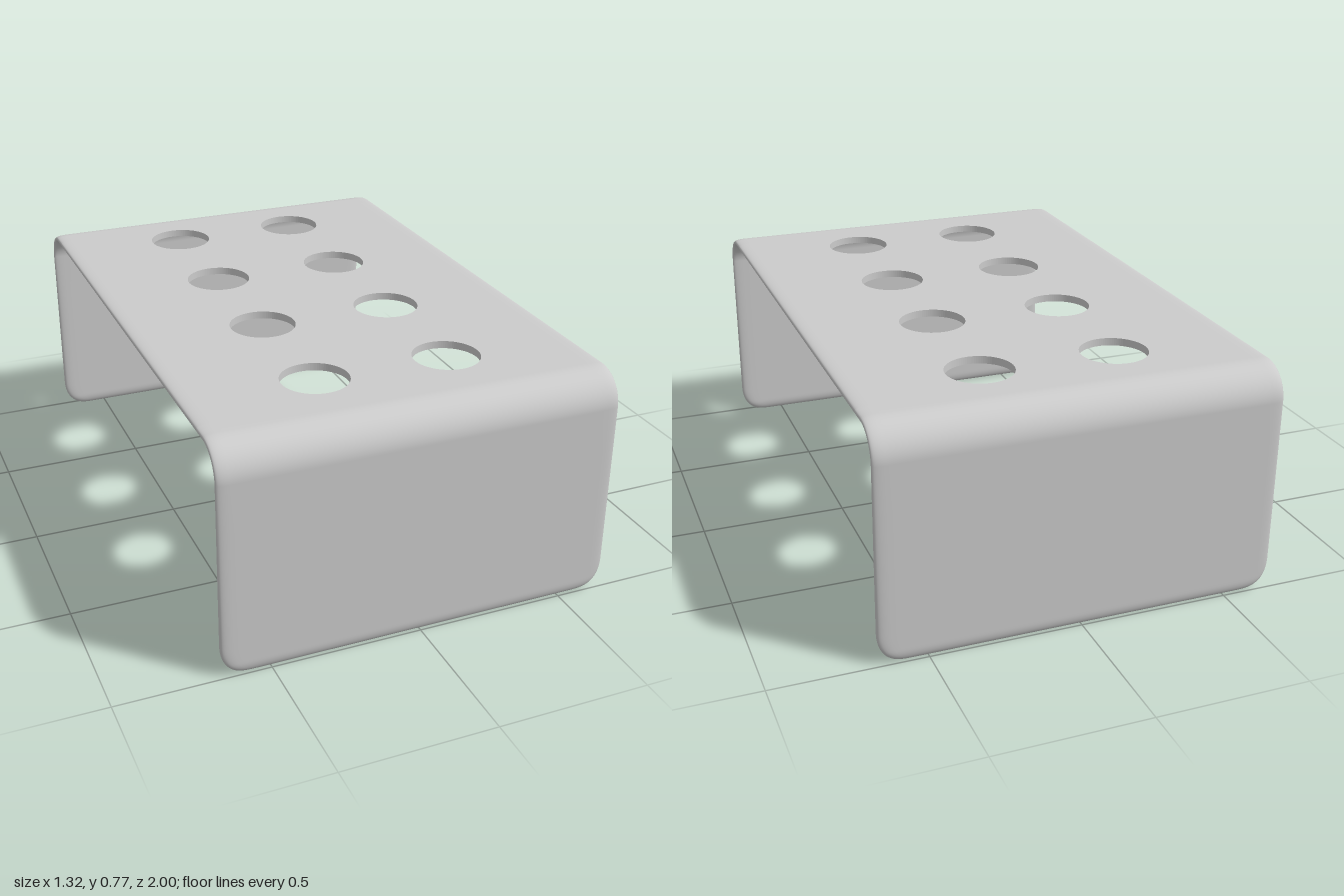
import * as THREE from 'three';

const HALF_W = 0.66, EDGE = 0.06, THICK = 0.025, TOP = 0.77, FLAT_Z = 0.83;
const material = new THREE.MeshStandardMaterial({ color: 0xcccccc });

// Soft rounded edge from the lower face (-90 deg) to the upper face (+90 deg).
const edgeProfile = [];
for (let i = 0; i <= 16; i++) {
  const a = -Math.PI / 2 + (Math.PI * i) / 16;
  const soft = (v) => Math.sign(v) * Math.pow(Math.abs(v), 2 / 3);
  edgeProfile.push([i % 16 ? soft(Math.cos(a)) : 0, soft(Math.sin(a))]);
}

// Section across the sheet: one edge, or both edges joined by flat faces.
function section(halfWidth, thick, full) {
  const inner = halfWidth - EDGE;
  const right = edgeProfile.map(([u, v]) => [inner + u * EDGE, (v * thick) / 2]);
  return full ? [...right, ...right.map(([u, v]) => [-u, -v]), right[0]] : right;
}

// Sweep sections along stations lying in the yz plane.
function loft(stations, full) {
  const pos = [], index = [];
  let n = 0;
  stations.forEach(({ y, z, angle, thick = THICK, halfWidth = HALF_W }, i) => {
    const ring = section(halfWidth, thick, full);
    n = ring.length;
    for (const [u, v] of ring) pos.push(u, y + v * Math.cos(angle), z + v * Math.sin(angle));
    if (i === 0) return;
    for (let j = 0; j < n - 1; j++) {
      const a = (i - 1) * n + j, c = a + n;
      index.push(a, a + 1, c, a + 1, c + 1, c);
    }
  });
  const geo = new THREE.BufferGeometry();
  geo.setAttribute('position', new THREE.Float32BufferAttribute(pos, 3));
  geo.setIndex(index);
  geo.computeVertexNormals();
  return geo;
}

function legStations() {
  const list = [{ y: TOP - THICK / 2, z: FLAT_Z, angle: 0 }];
  // bend from the top into the leg
  const r = 0.1, cy = TOP - THICK / 2 - r, cz = 1 - THICK / 2 - r;
  for (let i = 0; i <= 14; i++) {
    const angle = (Math.PI / 2) * (i / 14);
    list.push({ y: cy + r * Math.cos(angle), z: cz + r * Math.sin(angle), angle });
  }
  // leg, thickening slightly downwards, with rounded corners and a rounded lower lip
  const heights = [0.5, 0.35, 0.2];
  for (let i = 0; i <= 20; i++) heights.push(0.11 * Math.pow(1 - i / 20, 2));
  for (const y of heights) {
    const body = THICK + 0.01 * (1 - y / cy);
    const c = Math.max(0, 1 - y / 0.11), lip = Math.max(0, 1 - y / 0.04);
    list.push({
      y, z: 1 - body / 2, angle: Math.PI / 2,
      thick: body * Math.sqrt(1 - lip * lip),
      halfWidth: HALF_W - 0.1 * (1 - Math.pow(1 - Math.pow(c, 2.4), 1 / 2.4)),
    });
  }
  return list;
}

// Flat plate with two rows of four round holes.
function plateGeometry() {
  const w = HALF_W - EDGE;
  const shape = new THREE.Shape([
    new THREE.Vector2(-w, -FLAT_Z), new THREE.Vector2(w, -FLAT_Z),
    new THREE.Vector2(w, FLAT_Z), new THREE.Vector2(-w, FLAT_Z),
  ]);
  for (const x of [-0.225, 0.225]) {
    for (let k = 0; k < 4; k++) {
      const z = -0.685 + 0.45 * k;
      shape.holes.push(new THREE.Path().absarc(x, -z, 0.11, 0, Math.PI * 2, true));
    }
  }
  return new THREE.ExtrudeGeometry(shape, { depth: THICK, bevelEnabled: false, curveSegments: 48 })
    .rotateX(-Math.PI / 2).translate(0, TOP - THICK, 0);
}

export function createModel() {
  const group = new THREE.Group();
  group.name = 'bentSheetStand';
  const add = (name, geo, turn = 0) => {
    const mesh = new THREE.Mesh(geo, material);
    mesh.name = name;
    mesh.rotation.y = turn;
    group.add(mesh);
  };

  add('perforatedTop', plateGeometry());

  const leg = loft(legStations(), true);
  add('frontLeg', leg);
  add('backLeg', leg, Math.PI);

  const y = TOP - THICK / 2;
  const rim = loft([{ y, z: -FLAT_Z, angle: 0 }, { y, z: FLAT_Z, angle: 0 }], false);
  add('leftRim', rim);
  add('rightRim', rim, Math.PI);
  return group;
}
